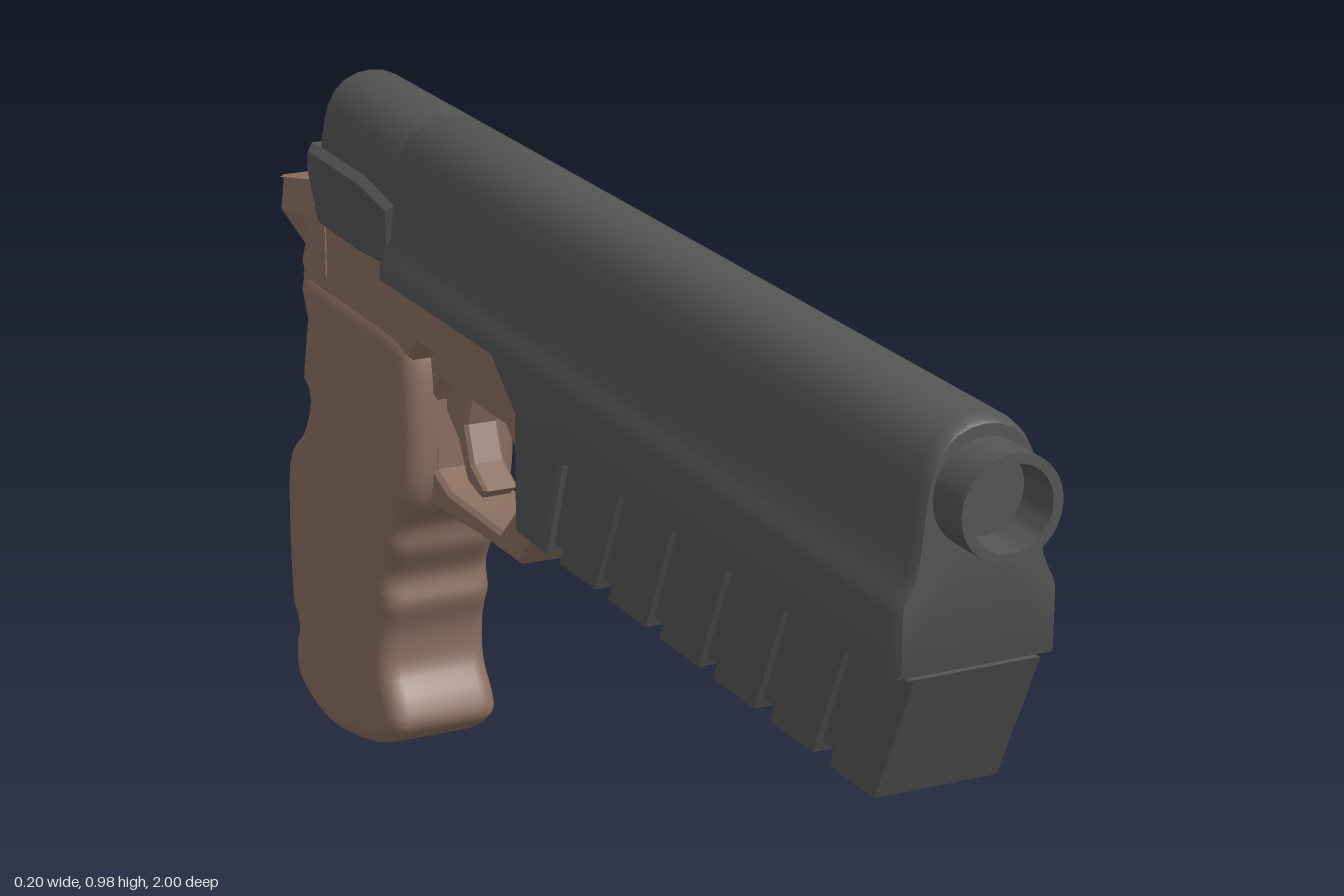
import * as THREE from 'three';
import { toCreasedNormals } from 'three/addons/utils/BufferGeometryUtils.js';

const grey = new THREE.MeshStandardMaterial({ color: 0x555555 });
const brown = new THREE.MeshStandardMaterial({ color: 0x8b6f60 });
const vectors = (pts) => pts.map(([a, b]) => new THREE.Vector2(a, b));

// Extrudes a [z, y] side profile across x, centred, keeping the outline when bevelled
function sideProfile(pts, halfWidth, bevel = 0, hole = null, segments = 1) {
  const shape = new THREE.Shape(vectors(pts));
  if (hole) shape.holes.push(new THREE.Path(vectors(hole)));
  const depth = 2 * (halfWidth - bevel);
  const geo = new THREE.ExtrudeGeometry(shape, {
    depth, bevelEnabled: bevel > 0, bevelThickness: bevel, bevelSize: bevel,
    bevelOffset: -bevel, bevelSegments: segments,
  });
  geo.translate(0, 0, -depth / 2);
  geo.rotateY(-Math.PI / 2);
  return geo;
}

// Half of the slide's cross-section, from the top down to its shoulder
const slideHalf = [[0.018, 0.984], [0.037, 0.976], [0.052, 0.962], [0.063, 0.942], [0.07, 0.915],
  [0.075, 0.88], [0.079, 0.84], [0.083, 0.815], [0.091, 0.797], [0.098, 0.783], [0.1, 0.772]];

// Lofts mirrored cross-sections along z; each station is [z, bottom y, scale]
function loftSlide(half, stations) {
  const centreY = 0.86, pos = [], index = [];
  let n = 0;
  for (const [z, bottom, scale] of stations) {
    const right = [...half, [half.at(-1)[0], bottom]].reverse();
    const ring = [...right, [0, 0.986], ...right.map(([x, y]) => [-x, y]).reverse()];
    n = ring.length;
    for (const [x, y] of ring) pos.push(x * scale, centreY + (y - centreY) * scale, z);
  }
  for (let i = 0; i < stations.length - 1; i++) {
    for (let j = 0; j < n; j++) {
      const k = (j + 1) % n, a = i * n + j, b = i * n + k, c = b + n, d = a + n;
      if (stations[i + 1][2] > 0) index.push(a, b, c);
      else index.push(a, b, d);
      if (stations[i][2] > 0 && stations[i + 1][2] > 0) index.push(a, c, d);
      else if (stations[i][2] === 0) index.splice(-3, 3, a, c, d);
    }
  }
  const geo = new THREE.BufferGeometry();
  geo.setAttribute('position', new THREE.Float32BufferAttribute(pos, 3));
  geo.setIndex(index);
  return geo;
}

export function createModel() {
  const model = new THREE.Group();
  const add = (name, geo, material, crease = 0.6, parent = model) => {
    const mesh = new THREE.Mesh(toCreasedNormals(geo, crease), material);
    mesh.name = name;
    parent.add(mesh);
    return mesh;
  };

  // Slide: wide body with a dipping lower edge, and a narrower rear end
  add('slide', loftSlide(slideHalf, [
    [-0.485, 0.765, 0], [-0.485, 0.765, 0.96], [-0.475, 0.765, 1], [-0.11, 0.765, 1],
    [-0.085, 0.745, 1], [0.03, 0.657, 1], [0.14, 0.695, 1], [0.922, 0.695, 1],
    [0.936, 0.697, 0.97], [0.94, 0.7, 0.94], [0.94, 0.7, 0],
  ]), grey);
  add('slideRear', loftSlide(slideHalf.slice(0, 7), [
    [-0.745, 0.8, 0], [-0.745, 0.8, 0.97], [-0.735, 0.8, 1], [-0.46, 0.8, 1], [-0.46, 0.8, 0],
  ]), grey);
  add('rearBlock', sideProfile([[-0.475, 0.775], [-0.475, 0.865], [-0.58, 0.88], [-0.77, 0.882],
    [-0.776, 0.845], [-0.735, 0.77], [-0.6, 0.768]], 0.086, 0.01), grey);

  // Barrel: hollow muzzle
  const barrel = new THREE.LatheGeometry(vectors([[0, 0.88], [0.05, 0.88], [0.05, 1], [0.062, 1],
    [0.062, 0.9], [0, 0.9]]).reverse(), 40);
  barrel.rotateX(Math.PI / 2);
  const muzzle = add('barrel', barrel, new THREE.MeshStandardMaterial({ color: 0x555555, side: THREE.DoubleSide }));
  muzzle.position.y = 0.902;

  // Fore-end: recessed core with slanted ribs
  const foreEnd = new THREE.Group();
  foreEnd.name = 'foreEnd';
  model.add(foreEnd);
  add('foreEndCore', sideProfile([[0.92, 0.71], [0.85, 0.545], [-0.075, 0.545], [-0.075, 0.74],
    [0.03, 0.675], [0.13, 0.71]], 0.07), grey, 0.6, foreEnd);
  const pitch = 0.142, lean = 0.08;
  for (let i = 0; i < 6; i++) {
    const front = 0.86 - i * pitch, back = front - 0.1;
    add('rib', sideProfile([[front + lean, 0.7], [front, 0.53], [back, 0.53], [back + lean, 0.7]],
      0.082, 0.004), grey, 0.3, foreEnd);
  }
  add('rearRib', sideProfile([[0.06, 0.67], [0.01, 0.53], [-0.08, 0.53], [-0.08, 0.74], [0.03, 0.67]],
    0.082, 0.004), grey, 0.3, foreEnd);

  // Frame, trigger guard and trigger
  add('frame', sideProfile([[-0.07, 0.77], [-0.12, 0.79], [-0.77, 0.8], [-0.82, 0.7], [-0.8, 0.66],
    [-0.43, 0.66], [-0.4, 0.69], [-0.2, 0.69], [-0.15, 0.67], [-0.07, 0.67]], 0.078, 0.006), brown, 0.4);
  add('triggerGuard', sideProfile(
    [[-0.075, 0.72], [-0.075, 0.53], [-0.15, 0.455], [-0.3, 0.452], [-0.46, 0.44], [-0.46, 0.72]], 0.045, 0.006,
    [[-0.16, 0.61], [-0.19, 0.635], [-0.4, 0.635], [-0.425, 0.6], [-0.425, 0.5], [-0.38, 0.482],
      [-0.21, 0.482], [-0.16, 0.53]]), brown, 0.4);
  add('trigger', sideProfile([[-0.34, 0.65], [-0.365, 0.58], [-0.345, 0.53], [-0.3, 0.505], [-0.32, 0.49],
    [-0.36, 0.5], [-0.39, 0.55], [-0.44, 0.59], [-0.42, 0.65]], 0.025, 0.005), brown, 0.4);

  // Tail: narrows towards the back
  const tail = sideProfile([[-0.72, 0.78], [-0.76, 0.815], [-0.81, 0.815], [-0.95, 0.785], [-0.995, 0.775],
    [-1, 0.752], [-0.95, 0.737], [-0.81, 0.695], [-0.72, 0.7]], 0.08);
  const p = tail.attributes.position;
  for (let i = 0; i < p.count; i++) {
    const z = p.getZ(i);
    const half = z > -0.81 ? 0.08 : z > -0.96 ? 0.055 : 0.032;
    p.setX(i, Math.sign(p.getX(i)) * half);
  }
  add('tail', tail, brown, 0.4);

  // Grip: finger grooves in front, palm swell behind
  const outline = new THREE.SplineCurve(vectors([[-0.6, 0.69], [-0.46, 0.685], [-0.43, 0.65], [-0.425, 0.55],
    [-0.435, 0.46], [-0.48, 0.4], [-0.49, 0.36], [-0.52, 0.31], [-0.515, 0.27], [-0.535, 0.22],
    [-0.535, 0.165], [-0.505, 0.12], [-0.505, 0.08], [-0.6, 0.03], [-0.76, 0.002], [-0.87, 0.035],
    [-0.882, 0.1], [-0.872, 0.125], [-0.895, 0.17], [-0.895, 0.37], [-0.835, 0.44], [-0.805, 0.495],
    [-0.828, 0.52], [-0.812, 0.6], [-0.8, 0.65], [-0.82, 0.68], [-0.78, 0.69]]));
  add('grip', sideProfile(outline.getPoints(104).map((v) => [v.x, v.y]), 0.083, 0.028, null, 4), brown, 0.7);

  return model;
}
